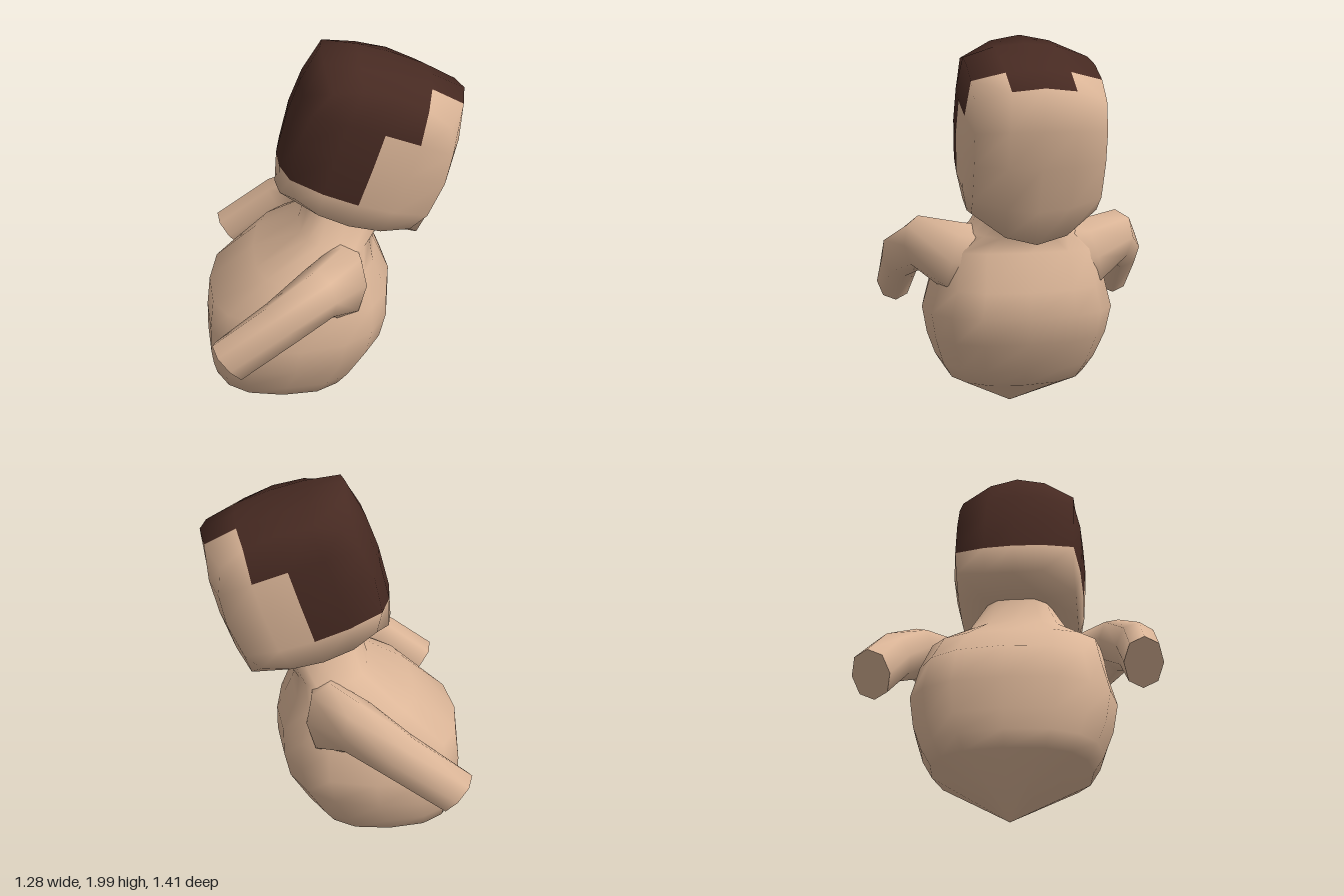
import * as THREE from 'three';

const skin = new THREE.MeshStandardMaterial({ color: 0xdcb698 });
const hair = new THREE.MeshStandardMaterial({ color: 0x472a22 });
const V = (x, y, z = 0) => new THREE.Vector3(x, y, z);

// Closed ring around c, spanned by half-axes u and v; power > 2 makes it squarer
function ring(c, u, v, sides, power) {
  const round = t => Math.sign(t) * Math.pow(Math.abs(t), 2 / power);
  return Array.from({ length: sides }, (_, j) => {
    const a = (j / sides) * Math.PI * 2;
    return c.clone().addScaledVector(u, round(Math.cos(a))).addScaledVector(v, round(Math.sin(a)));
  });
}

// Smooth skin over rings of equal length
function loft(name, rings) {
  const n = rings[0].length, index = [];
  for (let i = 0; i < rings.length - 1; i++) {
    for (let j = 0; j < n; j++) {
      const k = (j + 1) % n, a = i * n + j, b = i * n + k;
      index.push(a, a + n, b, b, a + n, b + n);
    }
  }
  const geo = new THREE.BufferGeometry().setFromPoints(rings.flat());
  geo.setIndex(index);
  geo.computeVertexNormals();
  const mesh = new THREE.Mesh(geo, skin);
  mesh.name = name;
  return mesh;
}

// Leaning pear-shaped body with a pointed base, broad shoulders and a neck
function makeBody() {
  // back x, back y, front x, front y, half width
  const levels = [
    [-0.34, 0.01, -0.34, 0.01, 0],
    [-0.61, 0.26, 0.12, 0.25, 0.37],
    [-0.625, 0.34, 0.18, 0.34, 0.42],
    [-0.635, 0.43, 0.28, 0.51, 0.465],
    [-0.63, 0.58, 0.31, 0.65, 0.49],
    [-0.61, 0.74, 0.31, 0.78, 0.45],
    [-0.38, 0.93, 0.23, 0.96, 0.42],
    [-0.15, 1.09, 0.21, 1.03, 0.27],
    [-0.1, 1.25, 0.28, 1.13, 0.19],
  ];
  return loft('body', levels.map(([x0, y0, x1, y1, w]) =>
    ring(V((x0 + x1) / 2, (y0 + y1) / 2), V((x1 - x0) / 2, (y1 - y0) / 2), V(0, 0, w), 16, 2.6)));
}

// Arm growing out of the shoulder, bending backwards and cut off flat
function makeArm(name, s, reach) {
  const path = [
    V(0.02, 0.87, 0.12 * s), V(0.045, 0.915, 0.34 * s), V(-0.06, 0.975, 0.5 * s),
    V(-0.24, 0.875, 0.59 * s), V(-0.495 - reach, 0.68 - reach * 0.6, 0.615 * s),
  ];
  // half height and half thickness
  const size = [[0.19, 0.15], [0.18, 0.13], [0.135, 0.115], [0.12, 0.1], [0.118, 0.09]];
  const rings = path.map((p, i) => {
    const t = path[Math.min(i + 1, 4)].clone().sub(path[Math.max(i - 1, 0)]).normalize();
    const u = t.clone().cross(V(0, 1, 0)).normalize();
    const v = u.clone().cross(t);
    return ring(p, u.multiplyScalar(size[i][1]), v.multiplyScalar(size[i][0]), 8, 2.2);
  });
  const end = rings[4];
  rings.push(end.map(p => p.clone()), end.map(() => path[4].clone()));
  return loft(name, rings);
}

// Rounded cube head; hair is a blocky selection of its grid cells
function makeHead() {
  const box = new THREE.BoxGeometry(2, 2, 2, 4, 4, 4).toNonIndexed();
  const src = box.attributes.position;
  const ids = new Map(), points = [], hairIndex = [], skinIndex = [];

  const place = (x, y, z) => {
    const soft = (a, b, c) => a * (0.58 + 0.42 * Math.sqrt(1 - b * b / 2 - c * c / 2 + b * b * c * c / 3));
    const p = V(0.405 * soft(x, y, z), 0.39 * soft(y, x, z), 0.345 * soft(z, x, y));
    // squarer rims at the crown and the chin
    const rim = x * x * y * y * (1 - z * z);
    p.y += 0.025 * rim * Math.sign(y);
    if (x > 0 && y < 0) p.add(V(0.04 * rim, -0.025 * rim));
    // blunter corners
    const corner = x * x * y * y * z * z;
    p.add(V(-0.05 * corner * Math.sign(x), -0.045 * corner * Math.sign(y), 0.015 * corner * Math.sign(z)));
    // lower hairline
    if (y < 0) p.y -= 0.18 * y * y * (1 - y * y);
    return p;
  };

  const isHair = c => {
    if (c.y > 0.99) return !(c.x > 0.5 && Math.abs(c.z) > 0.5);
    if (c.y < -0.5 || c.x > 0.99) return false;
    if (c.x < -0.99) return true;
    return c.x < 0 || (c.x < 0.5 && c.y > 0.5);
  };

  for (let i = 0; i < src.count; i += 3) {
    const mid = V(0, 0, 0), tri = [];
    for (let k = i; k < i + 3; k++) {
      const p = V(src.getX(k), src.getY(k), src.getZ(k));
      const key = p.toArray().map(t => Math.round(t * 2)).join();
      if (!ids.has(key)) {
        ids.set(key, points.length);
        points.push(place(p.x, p.y, p.z));
      }
      tri.push(ids.get(key));
      mid.addScaledVector(p, 1 / 3);
    }
    (isHair(mid) ? hairIndex : skinIndex).push(...tri);
  }

  const whole = new THREE.BufferGeometry().setFromPoints(points);
  whole.setIndex([...skinIndex, ...hairIndex]);
  whole.computeVertexNormals();

  const head = new THREE.Group();
  head.name = 'head';
  for (const [name, index, material] of [['face', skinIndex, skin], ['hair', hairIndex, hair]]) {
    const geo = whole.clone();
    geo.setIndex(index);
    const mesh = new THREE.Mesh(geo, material);
    mesh.name = name;
    head.add(mesh);
  }
  head.position.set(0.19, 1.54, 0);
  head.rotation.z = -THREE.MathUtils.degToRad(18);
  return head;
}

export function createModel() {
  const model = new THREE.Group();
  model.name = 'figure';
  model.add(makeBody(), makeArm('leftArm', 1, 0), makeArm('rightArm', -1, 0.03), makeHead());
  return model;
}
